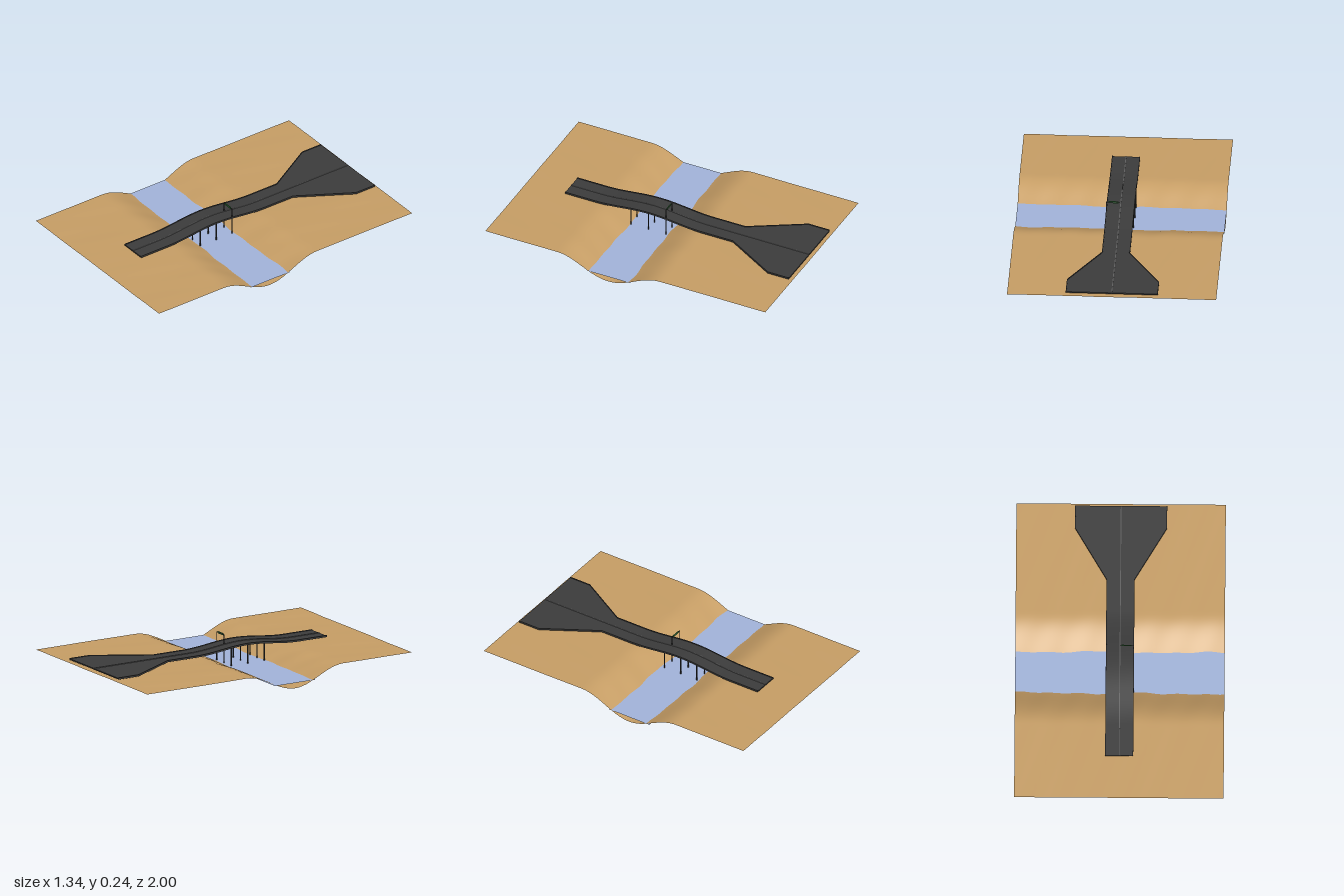
import * as THREE from 'three';

const mat = (color, side = THREE.FrontSide) => new THREE.MeshStandardMaterial({ color, side });
const asphalt = mat(0x3c3c3c), kerbMat = mat(0x333333), lineMat = mat(0x606060);
const steel = mat(0x303030), green = mat(0x2f6b35);
const sand = mat(0xc89f66, THREE.DoubleSide), blue = mat(0xa3b5dc, THREE.DoubleSide);

const VALLEY_Z = 0.12, HALF_VALLEY = 0.37;

// Ground profile: flat plain, cosine-shaped river valley, slight unevenness
function groundHeight(x, z) {
  const t = Math.min(Math.abs(z - VALLEY_Z) / HALF_VALLEY, 1);
  const bank = 0.5 - 0.5 * Math.cos(Math.PI * t);
  const slope = Math.sin(Math.PI * t);
  const ripple = Math.sin(x * 9 + z * 2) + 0.7 * Math.sin(x * 17 - z * 3 + 1) + 0.6 * Math.sin(x * 31 + z * 11);
  return 0.011 + 0.115 * bank + ripple * (0.0006 + 0.0015 * slope);
}

// Road height: level approaches with an arched middle
function roadHeight(z) {
  const t = Math.min(Math.abs(z - 0.125) / 0.385, 1);
  return 0.146 + 0.03 * (0.5 + 0.5 * Math.cos(Math.PI * t));
}

// Half-width of the road, flaring out at the back
function roadHalfWidth(z) {
  const t = THREE.MathUtils.clamp((-0.48 - z) / 0.35, 0, 1);
  return 0.09 + 0.205 * t;
}

const stations = [-0.98, -0.83, -0.48];
for (let i = 0; i <= 32; i++) stations.push(-0.26 + (0.77 * i) / 32);
stations.push(0.72);

// A bar swept along the road; left and right edges are functions of z
function roadStrip(name, left, right, bottom, top, material) {
  const n = stations.length - 1;
  const geo = new THREE.BoxGeometry(1, 1, 1, 1, 1, n);
  const p = geo.attributes.position;
  for (let i = 0; i < p.count; i++) {
    const z = stations[Math.round((p.getZ(i) + 0.5) * n)];
    const x = p.getX(i) < 0 ? left(z) : right(z);
    p.setXYZ(i, x, roadHeight(z) + (p.getY(i) < 0 ? bottom : top), z);
  }
  geo.computeVertexNormals();
  const mesh = new THREE.Mesh(geo, material);
  mesh.name = name;
  return mesh;
}

function box(name, w, h, d, x, y, z, material) {
  const mesh = new THREE.Mesh(new THREE.BoxGeometry(w, h, d), material);
  mesh.position.set(x, y, z);
  mesh.name = name;
  return mesh;
}

export function createModel() {
  const model = new THREE.Group();
  model.name = 'riverBridge';

  // Terrain
  const groundGeo = new THREE.PlaneGeometry(1.34, 2, 40, 80).rotateX(-Math.PI / 2);
  const p = groundGeo.attributes.position;
  for (let i = 0; i < p.count; i++) p.setY(i, groundHeight(p.getX(i), p.getZ(i)));
  groundGeo.computeVertexNormals();
  const ground = new THREE.Mesh(groundGeo, sand);
  ground.name = 'terrain';
  model.add(ground);

  // River
  const river = new THREE.Mesh(new THREE.PlaneGeometry(1.34, 0.31).rotateX(-Math.PI / 2), blue);
  river.position.set(0, 0.047, VALLEY_Z);
  river.name = 'river';
  model.add(river);

  // Road deck, edge kerbs and centre divider
  const w = roadHalfWidth;
  model.add(
    roadStrip('roadDeck', z => -w(z), w, -0.008, 0, asphalt),
    roadStrip('rightKerb', z => -w(z), z => -w(z) + 0.005, 0, 0.004, kerbMat),
    roadStrip('leftKerb', z => w(z) - 0.005, w, 0, 0.004, kerbMat),
    roadStrip('centreDivider', () => -0.0025, () => 0.0025, 0, 0.004, lineMat)
  );

  // Three rows of piers
  const piers = new THREE.Group();
  piers.name = 'piers';
  for (const z of [0, 0.125, 0.25]) {
    for (const x of [-0.087, 0, 0.087]) {
      const h = roadHeight(z) - 0.002;
      const pier = new THREE.Mesh(new THREE.CylinderGeometry(0.004, 0.004, h, 12), steel);
      pier.position.set(x, h / 2, z);
      pier.name = 'pier';
      piers.add(pier);
    }
  }
  model.add(piers);

  // Sign gantry over the left lane
  const gantry = new THREE.Group();
  gantry.name = 'signGantry';
  const base = roadHeight(0), top = 0.236;
  for (const x of [0, 0.087]) {
    gantry.add(box('gantryPost', 0.003, top - base, 0.003, x, (top + base) / 2, 0, steel));
  }
  gantry.add(
    box('gantryBeam', 0.09, 0.003, 0.003, 0.0435, top - 0.0015, 0, steel),
    box('signPanel', 0.065, 0.013, 0.004, 0.0425, 0.234, 0.001, green)
  );
  model.add(gantry);
  return model;
}
